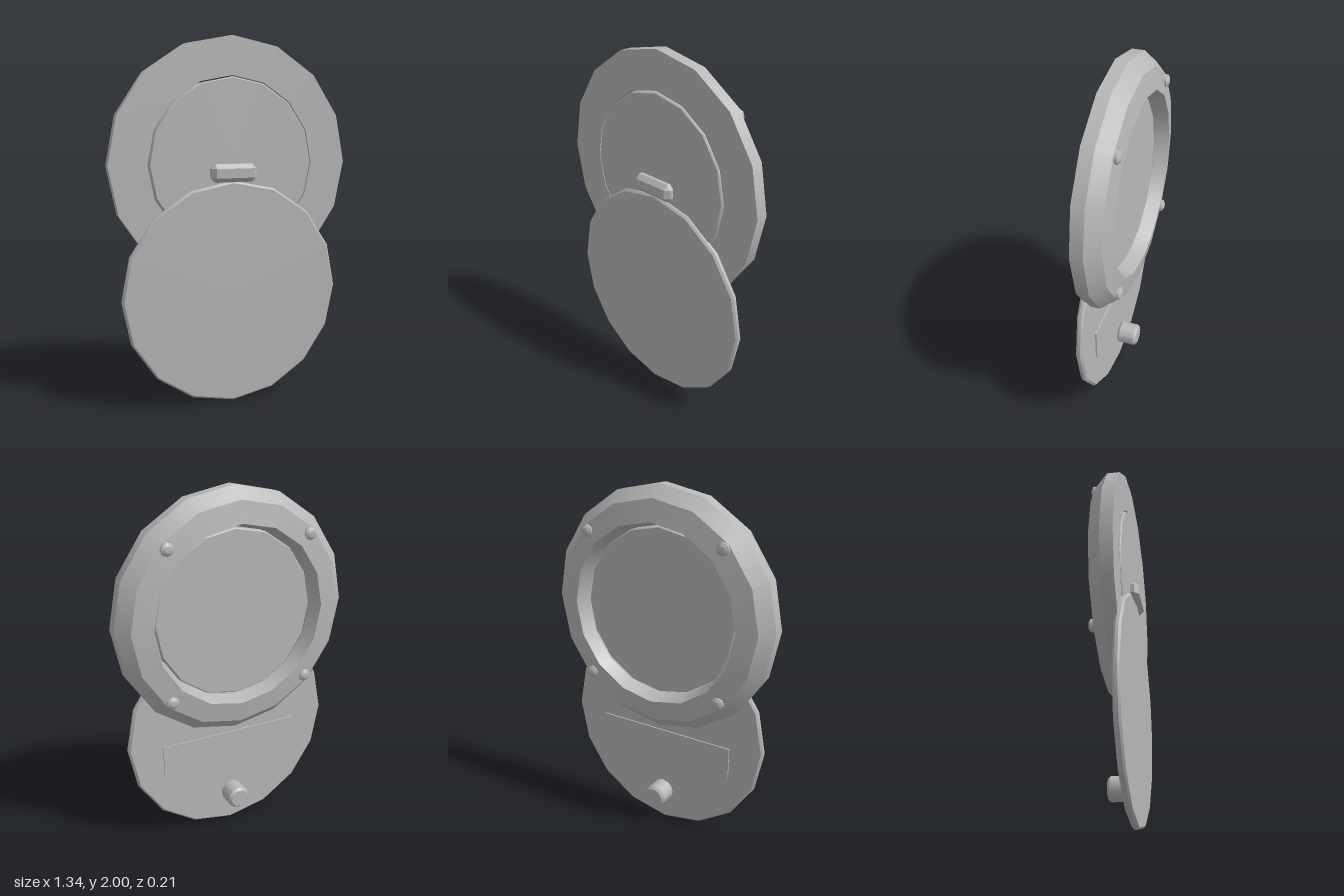
import * as THREE from 'three';
import { mergeGeometries } from 'three/addons/utils/BufferGeometryUtils.js';
import { ConvexGeometry } from 'three/addons/geometries/ConvexGeometry.js';

const grey = new THREE.MeshStandardMaterial({ color: 0xb8b8b8 });
grey.name = 'plain grey';

// Turned part along z: profile of [radius, z], crisp edges between bands.
function turned(name, profile, sides, x, y) {
  const bands = [];
  for (let i = 0; i < profile.length - 1; i++) {
    const pts = [profile[i], profile[i + 1]].map(([r, z]) => new THREE.Vector2(r, z));
    bands.push(new THREE.LatheGeometry(pts, sides));
  }
  const geo = mergeGeometries(bands);
  geo.rotateX(Math.PI / 2);
  const mesh = new THREE.Mesh(geo, grey);
  mesh.name = name;
  mesh.position.set(x, y, 0);
  return mesh;
}

// Solid disc profile with chamfered rims.
function discProfile(r, z0, z1, c) {
  return [[0, z0], [r - c, z0], [r, z0 + c], [r, z1 - c], [r - c, z1], [0, z1]];
}

// Box with every edge and corner chamfered.
function chamferedBox(hx, hy, hz, c) {
  const pts = [];
  for (const sx of [-1, 1]) for (const sy of [-1, 1]) for (const sz of [-1, 1]) {
    pts.push(
      new THREE.Vector3(sx * hx, sy * (hy - c), sz * (hz - c)),
      new THREE.Vector3(sx * (hx - c), sy * hy, sz * (hz - c)),
      new THREE.Vector3(sx * (hx - c), sy * (hy - c), sz * hz));
  }
  return new ConvexGeometry(pts);
}

export function createModel() {
  const group = new THREE.Group();
  const ringY = 1.33, coverY = 0.62;

  // Frame ring with bevelled back and a through hole
  group.add(turned('frameRing', [
    [0.465, -0.02], [0.49, -0.098], [0.605, -0.08], [0.67, -0.012],
    [0.67, 0.055], [0.465, 0.055], [0.465, -0.02],
  ], 16, 0, ringY));

  // Glass plate filling the hole
  group.add(turned('windowDisc', discProfile(0.458, -0.02, 0.061, 0.006), 16, 0, ringY));

  // Four screw heads on the back of the ring
  for (const sx of [-1, 1]) for (const sy of [-1, 1]) {
    group.add(turned('screwHead',
      [[0, -0.109], [0.018, -0.107], [0.035, -0.097], [0.035, -0.08], [0, -0.08]],
      8, sx * 0.403, ringY + sy * 0.403));
  }

  // Swung-down cover disc
  group.add(turned('coverDisc', discProfile(0.618, 0.044, 0.081, 0.011), 16, 0, coverY));

  // Catch block above the cover
  const catchBlock = new THREE.Mesh(chamferedBox(0.128, 0.049, 0.042, 0.024), grey);
  catchBlock.name = 'catchBlock';
  catchBlock.position.set(0, 1.281, 0.063);
  group.add(catchBlock);

  // Thin strip on the back of the cover
  const strip = new THREE.Mesh(new THREE.BoxGeometry(0.84, 0.18, 0.016), grey);
  strip.name = 'backStrip';
  strip.position.set(0, 0.51, 0.044);
  group.add(strip);

  // Knob on the back of the cover
  group.add(turned('knob', discProfile(0.066, -0.074, 0.046, 0.014), 12, 0, 0.205));

  return group;
}
